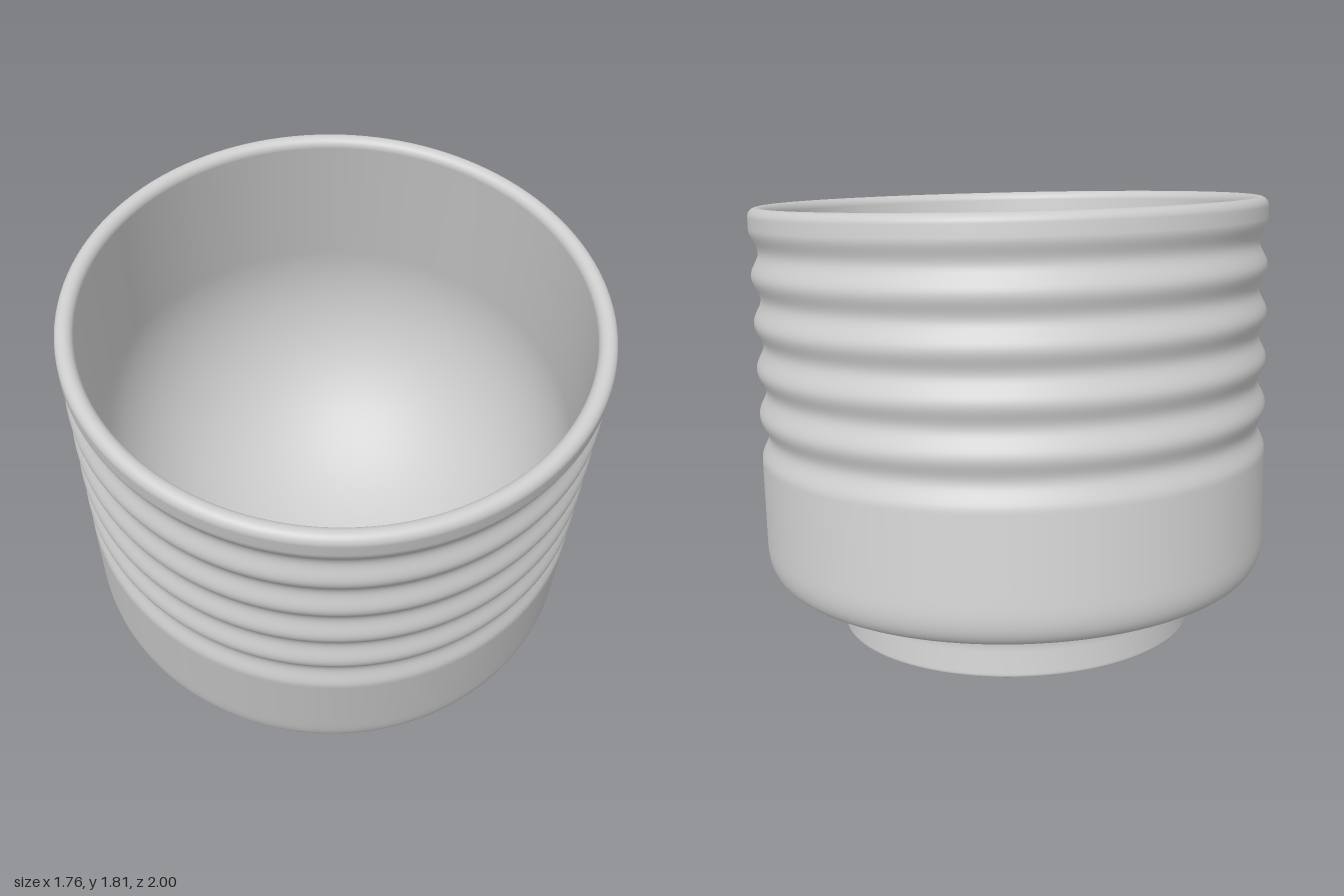
import * as THREE from 'three';

const RADIUS = 0.88, HEIGHT = 1.48, FOOT = 0.622, OPENING = 0.82;
const GROOVES = 5, FIRST = 0.705, STEP = 0.157, DEPTH = 0.027;

function cupProfile() {
  const path = new THREE.Path();
  // flat underside and foot ring
  path.moveTo(0, 0);
  path.lineTo(FOOT - 0.024, 0);
  path.lineTo(FOOT - 0.016, 0);
  path.quadraticCurveTo(FOOT, 0, FOOT, 0.016);
  path.lineTo(FOOT, 0.024);
  path.lineTo(FOOT, 0.09);
  // concave fillet into the body, then its rounded lower edge
  path.bezierCurveTo(FOOT, 0.15, 0.67, 0.175, 0.73, 0.18);
  path.bezierCurveTo(0.83, 0.185, RADIUS, 0.22, RADIUS, 0.33);
  path.lineTo(RADIUS, 0.36);
  path.lineTo(RADIUS, FIRST - STEP / 2 - 0.01);
  // wavy grooves
  const steps = GROOVES * 16;
  for (let i = 0; i <= steps; i++) {
    const t = i / 16;
    path.lineTo(RADIUS - DEPTH * (1 - Math.cos(t * 2 * Math.PI)) / 2, FIRST + (t - 0.5) * STEP);
  }
  // rounded rim
  const lip = (RADIUS - OPENING) / 2;
  path.lineTo(RADIUS, HEIGHT - lip);
  path.absarc(RADIUS - lip, HEIGHT - lip, lip, 0, Math.PI, false);
  // straight upper inside wall and bowl-shaped floor
  const wallEnd = 0.95, floor = 0.2;
  path.lineTo(OPENING, wallEnd);
  for (let i = 1; i <= 32; i++) {
    const a = (i / 32) * Math.PI / 2;
    path.lineTo(i === 32 ? 0 : OPENING * Math.cos(a), wallEnd - (wallEnd - floor) * Math.sin(a));
  }
  return path.getPoints(14);
}

export function createModel() {
  const model = new THREE.Group();
  model.name = 'tiltedCup';

  const material = new THREE.MeshStandardMaterial({ color: 0xcccccc });
  const cup = new THREE.Mesh(new THREE.LatheGeometry(cupProfile(), 128), material);
  cup.name = 'ribbedCup';

  // lean forward, resting on the front edge of the foot
  const tilt = THREE.MathUtils.degToRad(15);
  cup.rotation.x = tilt;
  cup.position.set(0, FOOT * Math.sin(tilt), -0.23);
  model.add(cup);
  return model;
}
